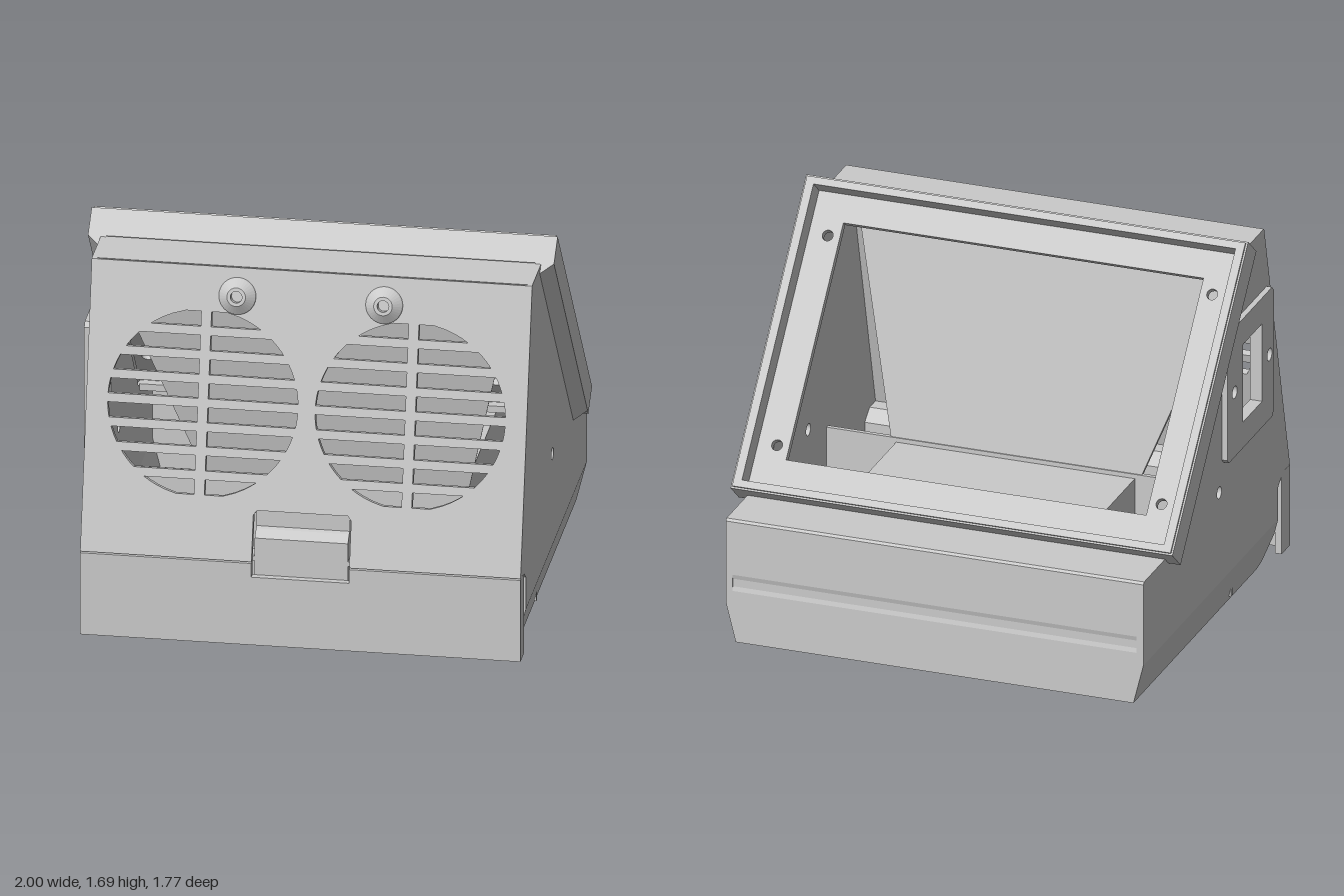
import * as THREE from 'three';

const grey = new THREE.MeshStandardMaterial({ color: 0xcacaca });
grey.name = 'plain grey';

function add(parent, name, geometry) {
  const mesh = new THREE.Mesh(geometry, grey);
  mesh.name = name;
  parent.add(mesh);
  return mesh;
}

const poly = (pts) => new THREE.Shape(pts.map(([a, b]) => new THREE.Vector2(a, b)));
const rect = (x0, y0, x1, y1) => [[x0, y0], [x1, y0], [x1, y1], [x0, y1]];
const path = (pts) => new THREE.Path(pts.map(([a, b]) => new THREE.Vector2(a, b)));
const circle = (x, y, r) => new THREE.Path().absarc(x, y, r, 0, Math.PI * 2, true);

// Flat plate in the xy plane, its front at z = front
function plate(shape, front, depth) {
  const g = new THREE.ExtrudeGeometry(shape, { depth, bevelEnabled: false, curveSegments: 24 });
  return g.translate(0, 0, front - depth);
}

// Profile given as [z, y] points, swept from x0 to x1
function sweep(pts, x0, x1, holes = []) {
  const shape = poly(pts.map(([z, y]) => [-z, y]));
  shape.holes = holes;
  const g = new THREE.ExtrudeGeometry(shape, { depth: x1 - x0, bevelEnabled: false, curveSegments: 24 });
  return g.rotateY(Math.PI / 2).translate(x0, 0, 0);
}

const W = 0.945;
const FOLD = 0.18;
const INNER_Z = 0.25;

// Draws the sides in below the fold line
function taper(g) {
  const p = g.attributes.position;
  for (let i = 0; i < p.count; i++) {
    const drop = Math.max(0, FOLD - p.getY(i));
    p.setX(i, p.getX(i) - Math.sign(p.getX(i)) * drop * 0.25);
  }
  g.computeVertexNormals();
  return g;
}

function buildShell(root) {
  const upper = [[-0.885, FOLD], [-0.885, 0.555], [-0.875, 0.565], [-0.49, 0.565], [0.36, 1.6],
    [0.56, 1.6], [0.57, 1.597], [0.88, 0.38], [0.8, 0.375], [0.74, 0.33], [0.74, FOLD]];
  const lower = [[-0.885, 0], [-0.885, FOLD], [0.74, FOLD], [0.74, 0.11], [0.67, 0.035], [0.64, 0.012], [0.6, 0]];
  for (const s of [-1, 1]) {
    const x0 = s > 0 ? W - 0.03 : -W;
    const holes = [circle(-0.03, 0.6, 0.027)];
    if (s < 0) holes.push(path(rect(-0.48, 0.84, -0.25, 1.2)));
    add(root, 'sideWall', sweep(upper, x0, x0 + 0.03, holes));
    add(root, 'sideSkirt', taper(sweep(lower, x0, x0 + 0.03)));
  }
  // Back wall with a shallow groove, and its tapered lower part
  add(root, 'backWall', sweep([[-0.855, FOLD], [-0.885, FOLD], [-0.885, 0.235], [-0.88, 0.255],
    [-0.88, 0.29], [-0.885, 0.31], [-0.885, 0.555], [-0.875, 0.565], [-0.855, 0.565]], -W, W));
  add(root, 'backSkirt', taper(sweep(rect(-0.885, 0, -0.855, FOLD), -W, W)));
  add(root, 'rearDeck', sweep(rect(-0.875, 0.535, -0.52, 0.565), -W, W));
  add(root, 'roof', sweep([[0.31, 1.57], [0.31, 1.6], [0.563, 1.6], [0.55, 1.57]], -W, W));
  // Front floor strip, folded up behind the flap
  add(root, 'frontFloor', taper(sweep([[INNER_Z, 0], [INNER_Z, 0.03], [0.6, 0.03], [0.71, 0.12], [0.71, FOLD],
    [0.74, FOLD], [0.74, 0.11], [0.67, 0.035], [0.64, 0.012], [0.6, 0]], -W + 0.02, W - 0.02)));
  add(root, 'frontStep', sweep([[0.71, FOLD], [0.74, FOLD], [0.74, 0.33], [0.79, 0.37], [0.85, 0.375],
    [0.85, 0.395], [0.77, 0.395], [0.71, 0.35]], -W + 0.02, W - 0.02));
}

function buildFront(root) {
  const tilt = Math.atan2(0.31, 1.22);
  const v = (y) => (y - 0.38) / Math.cos(tilt);
  const front = new THREE.Group();
  front.name = 'frontPanel';
  front.position.set(0, 0.38, 0.88);
  front.rotation.x = -tilt;
  root.add(front);

  // Panel with a latch notch and two round slatted grilles
  const top = v(1.598);
  const shape = poly([[-W, 0], [-0.21, 0], [-0.21, v(0.575)], [-0.195, v(0.595)], [0.195, v(0.595)],
    [0.21, v(0.575)], [0.21, 0], [W, 0], [W, top], [-W, top]]);
  const cy = 1.025, rx = 0.408, ry = 0.392;
  const halfWidth = (y) => rx * Math.sqrt(Math.max(0, 1 - ((y - cy) / ry) ** 2));
  for (const cx of [-0.445, 0.445]) {
    for (let row = 0; row < 8; row++) {
      const y1 = 1.408 - row * 0.1, y0 = Math.max(y1 - 0.063, 0.645);
      for (const s of [-1, 1]) {
        const edge = [];
        for (let k = 0; k <= 4; k++) {
          const y = y0 + (y1 - y0) * k / 4;
          edge.push([cx + s * Math.max(0.03, halfWidth(y)), v(y)]);
        }
        shape.holes.push(path([[cx + s * 0.022, v(y0)], ...edge, [cx + s * 0.022, v(y1)]]));
      }
    }
  }
  add(front, 'grillePanel', plate(shape, 0, 0.035));

  // Conical lamp holders
  const profile = [[0.08, 0], [0.077, 0.006], [0.04, 0.036], [0.025, 0.036], [0.025, 0.002], [0, 0.002]]
    .map(([r, h]) => new THREE.Vector2(r, h));
  for (const x of [-0.315, 0.315]) {
    const flat = new THREE.LatheGeometry(profile, 32).toNonIndexed();
    flat.computeVertexNormals();
    const lamp = add(front, 'lampHolder', flat.rotateX(Math.PI / 2));
    lamp.position.set(x, v(1.48), 0);
  }
}

function buildFlap(root) {
  const shape = poly([[-W, 0], [W, 0], [W, 0.375], [0.21, 0.375], [0.21, 0.312],
    [-0.21, 0.312], [-0.21, 0.375], [-W, 0.375]]);
  add(root, 'frontFlap', plate(shape, 0.885, 0.03));
  for (const s of [-1, 1]) {
    const end = add(root, 'flapEnd', new THREE.BoxGeometry(0.03, 0.375, 0.1));
    end.position.set(s * (W - 0.015), 0.1875, 0.832);
  }
  // Catch with a sloped ledge below a finger recess
  add(root, 'latch', sweep([[0.785, 0.3], [0.854, 0.3], [0.854, 0.48], [0.82, 0.51],
    [0.8, 0.515], [0.8, 0.59], [0.785, 0.59]], -0.2, 0.2));
}

function buildBezel(root) {
  const bezel = new THREE.Group();
  bezel.name = 'screenBezel';
  const up = new THREE.Vector3(0, 1.075, 0.915).normalize();
  const out = new THREE.Vector3(0, 0.915, -1.075).normalize();
  bezel.quaternion.setFromRotationMatrix(
    new THREE.Matrix4().makeBasis(new THREE.Vector3(-1, 0, 0), up, out));
  bezel.position.set(0, 1.1575, -0.2325);
  root.add(bezel);

  const H = 0.705;
  const frame = (inset) => {
    const shape = poly(rect(-1 + inset, -H + inset, 1 - inset, H - inset));
    shape.holes.push(path(rect(-0.955, -H + 0.04, 0.955, H - 0.04)));
    return shape;
  };
  // Rim with a softened front edge
  add(bezel, 'bezelRim', plate(frame(0), -0.01, 0.13));
  add(bezel, 'bezelEdge', plate(frame(0.008), 0, 0.01));

  // Recessed mounting plate with screen opening and screw holes
  const mount = poly(rect(-0.97, -H + 0.03, 0.97, H - 0.03));
  mount.holes.push(path(rect(-0.815, -0.525, 0.815, 0.54)));
  for (const x of [-0.87, 0.87]) {
    for (const y of [-0.467, 0.475]) mount.holes.push(circle(x, y, 0.024));
  }
  add(bezel, 'screenMount', plate(mount, -0.09, 0.03));

  // Slanted undersides joining the rim to the side walls
  for (const s of [-1, 1]) {
    const wedge = poly([[s, 0.14], [s * 0.94, 0.195], [s * 0.92, 0.14]]);
    const g = new THREE.ExtrudeGeometry(wedge, { depth: 2 * H - 0.03, bevelEnabled: false });
    add(bezel, 'bezelUnderside', g.rotateX(-Math.PI / 2).translate(0, -H + 0.03, 0));
  }
}

function buildInside(root) {
  // Bottom bay: two walls and a lid, closed in front by a full-width bulkhead
  const top = 0.5;
  for (const x of [-0.48, 0.58]) {
    add(root, 'bayWall', sweep(rect(-0.86, 0, INNER_Z, top), x, x + 0.02));
  }
  add(root, 'bayLid', sweep(rect(-0.86, top - 0.06, INNER_Z, top), -0.48, 0.6));
  add(root, 'bulkhead', sweep(rect(INNER_Z, 0.02, INNER_Z + 0.02, top + 0.02), -W + 0.03, W - 0.03));
  // Baffle behind the grilles, widening towards the roof
  const lean = 0.45 - INNER_Z, rise = 1.57 - top;
  const tilt = Math.atan2(lean, rise), len = Math.hypot(lean, rise);
  const baffle = add(root, 'baffle', plate(poly([[-0.5, 0], [0.62, 0], [0.86, len], [-0.91, len]]), 0, 0.02));
  baffle.position.set(0, top - 0.01, INNER_Z + 0.02);
  baffle.rotation.x = tilt;
}

function buildSocketPlate(root) {
  // Socket plate on the right side, with a window and two screw holes
  const holes = [path(rect(-0.48, 0.84, -0.25, 1.2)), circle(-0.15, 1.02, 0.028), circle(-0.57, 1.02, 0.028)];
  add(root, 'socketPlate', sweep([[0.06, 0.74], [0.06, 1.22], [0.16, 1.32], [0.6, 1.32], [0.62, 1.3],
    [0.62, 0.74], [0.6, 0.72], [0.08, 0.72]], -W - 0.025, -W, holes));
}

export function createModel() {
  const root = new THREE.Group();
  root.name = 'slopedConsole';
  buildShell(root);
  buildFront(root);
  buildFlap(root);
  buildBezel(root);
  buildInside(root);
  buildSocketPlate(root);
  return root;
}
